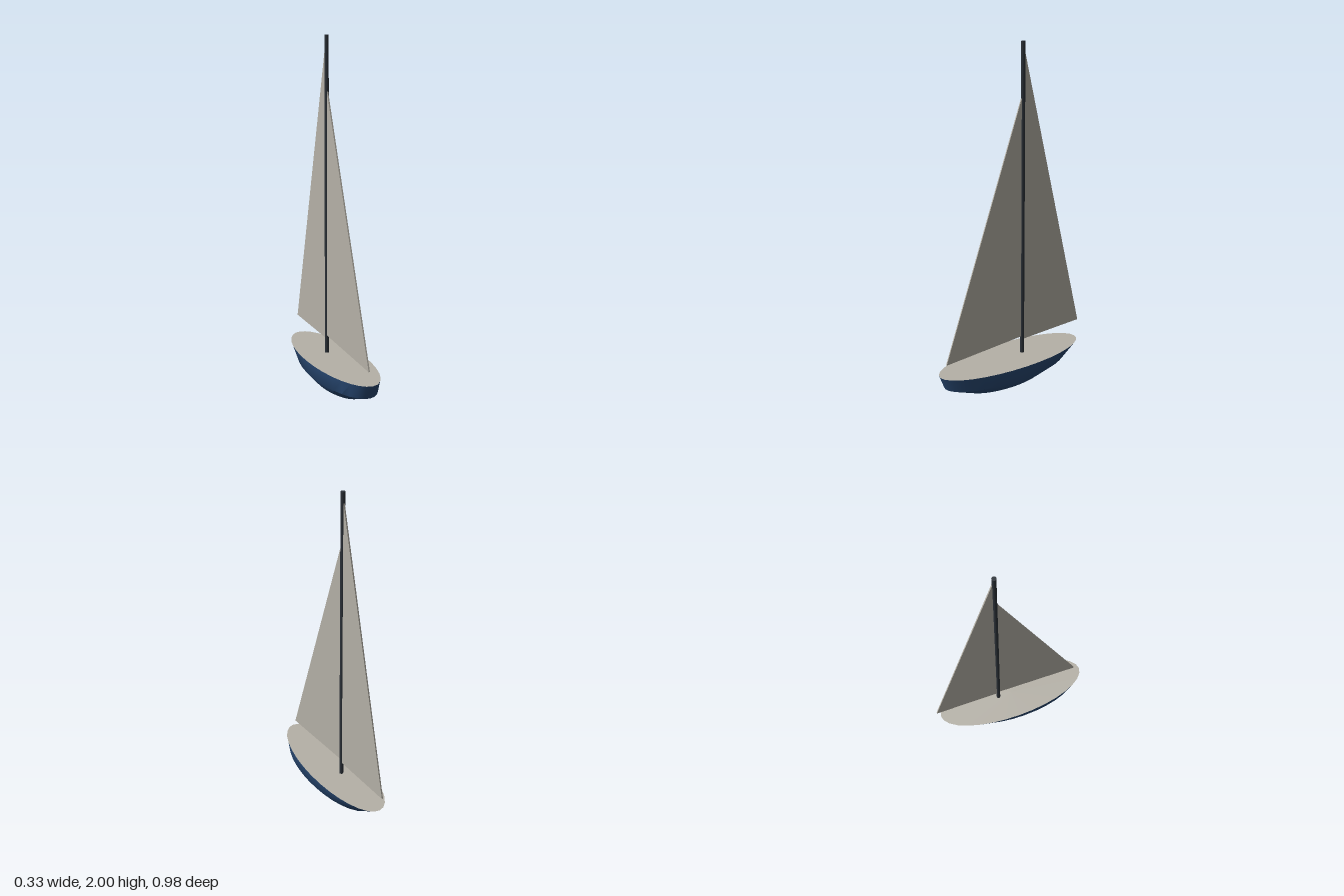
import * as THREE from 'three';
import { toCreasedNormals } from 'three/addons/utils/BufferGeometryUtils.js';

const SEGMENTS = 32;
const DECK_Y = 0.17;
const MAST_Z = -0.074;

// Elliptical hull sections from the deck edge down to the keel point
const SECTIONS = [
  { y: DECK_Y, halfWidth: 0.166, front: 0.488, back: -0.468 },
  { y: 0.088, halfWidth: 0.157, front: 0.457, back: -0.36 },
  { y: 0.027, halfWidth: 0.105, front: 0.31, back: -0.2 },
  { y: 0, halfWidth: 0, front: 0.01, back: 0.01 },
];

function material(name, color) {
  const m = new THREE.MeshStandardMaterial({ color });
  m.name = name;
  return m;
}

function hullGeometry() {
  const positions = [];
  const index = [];
  for (const s of SECTIONS) {
    const centre = (s.front + s.back) / 2;
    const halfLength = (s.front - s.back) / 2;
    for (let i = 0; i < SEGMENTS; i++) {
      const a = (i / SEGMENTS) * Math.PI * 2;
      positions.push(Math.sin(a) * s.halfWidth, s.y, centre + Math.cos(a) * halfLength);
    }
  }
  for (let r = 0; r < SECTIONS.length - 1; r++) {
    for (let i = 0; i < SEGMENTS; i++) {
      const next = (i + 1) % SEGMENTS;
      const t0 = r * SEGMENTS + i, t1 = r * SEGMENTS + next;
      const b0 = t0 + SEGMENTS, b1 = t1 + SEGMENTS;
      index.push(t0, b0, t1);
      if (r < SECTIONS.length - 2) index.push(b0, b1, t1);
    }
  }
  const geometry = new THREE.BufferGeometry();
  geometry.setAttribute('position', new THREE.Float32BufferAttribute(positions, 3));
  geometry.setIndex(index);
  return toCreasedNormals(geometry, THREE.MathUtils.degToRad(40));
}

// Thin flat sail from [z, y] corners, centred on x = 0
function sailGeometry(corners) {
  const thickness = 0.008;
  const shape = new THREE.Shape(corners.map(([z, y]) => new THREE.Vector2(-z, y)));
  const geometry = new THREE.ExtrudeGeometry(shape, { depth: thickness, bevelEnabled: false });
  geometry.translate(0, 0, -thickness / 2);
  geometry.rotateY(Math.PI / 2);
  return geometry;
}

export function createModel() {
  const navy = material('navy hull paint', 0x284872);
  const canvas = material('pale canvas', 0xb5b1a7);
  const charcoal = material('charcoal spar', 0x2b3138);

  const boat = new THREE.Group();
  boat.name = 'sailboat';
  const add = (name, geometry, mat) => {
    const mesh = new THREE.Mesh(geometry, mat);
    mesh.name = name;
    boat.add(mesh);
    return mesh;
  };

  // Hull and flat deck
  add('hull', hullGeometry(), navy);
  const rim = SECTIONS[0];
  const deck = new THREE.CircleGeometry(1, SEGMENTS);
  deck.rotateX(-Math.PI / 2);
  deck.scale(rim.halfWidth, 1, (rim.front - rim.back) / 2);
  add('deck', deck, canvas).position.set(0, DECK_Y, (rim.front + rim.back) / 2);

  // Mast
  const mastHeight = 2 - DECK_Y;
  const mast = add('mast', new THREE.CylinderGeometry(0.012, 0.012, mastHeight, 12), charcoal);
  mast.position.set(0, DECK_Y + mastHeight / 2, MAST_Z);

  // Sails fore and aft of the mast
  add('foreSail', sailGeometry([[0.446, 0.235], [MAST_Z + 0.006, 0.276], [MAST_Z + 0.006, 1.71]]), canvas);
  add('aftSail', sailGeometry([[MAST_Z - 0.004, 0.256], [-0.488, 0.276], [MAST_Z - 0.004, 1.97]]), canvas);

  return boat;
}
